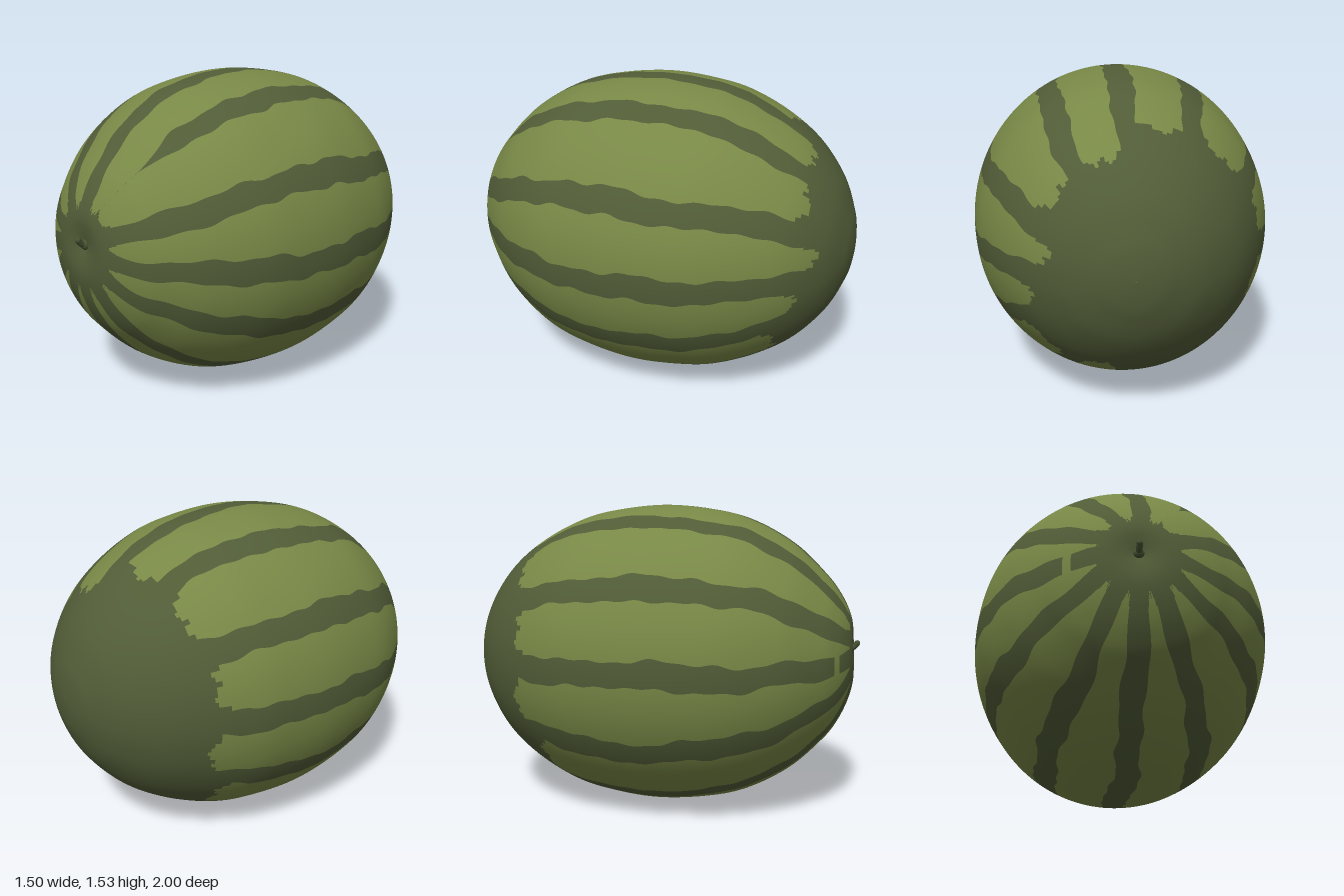
import * as THREE from 'three';

const rind = new THREE.MeshStandardMaterial({ color: 0x788846 });
rind.name = 'light green rind';
const stripe = new THREE.MeshStandardMaterial({ color: 0x515c37 });
stripe.name = 'dark green stripe';
const stalk = new THREE.MeshStandardMaterial({ color: 0x465030 });
stalk.name = 'stem green';

// Body outline from the dimpled stem end to the rounded blossom end: z, radius
const PROFILE = [[0.945, 0.001], [0.962, 0.07], [0.966, 0.14], [0.945, 0.225], [0.9, 0.32],
  [0.83, 0.415], [0.67, 0.568], [0.46, 0.687], [0.25, 0.743], [0, 0.767], [-0.25, 0.744],
  [-0.42, 0.702], [-0.61, 0.612], [-0.77, 0.495], [-0.9, 0.335], [-0.97, 0.18], [-0.992, 0.09], [-1, 0.001]];

// Stripe angles (degrees, mid body) and where the light band after each one ends at the back (z)
const STRIPES = [[-3, -0.87], [26, -0.81], [61, -0.79], [88.5, -0.66], [118, -0.63], [151, -0.58],
  [181, -0.6], [210, -0.5], [241, -0.5], [270, -0.75], [299, -0.7], [331, -0.8]];

const ROWS = 200, DARK_COLS = 4, LIGHT_COLS = 9;
const rad = THREE.MathUtils.degToRad;
const smooth = THREE.MathUtils.smoothstep;

// Smooth repeatable wobble for the stripe edges, about -1..1
const wobble = (t, seed) => 0.5 * Math.sin(t * 9 + seed * 2.3) + 0.35 * Math.sin(t * 21 + seed * 5.1)
  + 0.3 * Math.sin(t * 43 + seed * 3.7);

// Edge angle of stripe k on one side (-1 or +1) at a point of the outline
function edge(k, side, z, r) {
  const mid = rad(STRIPES[k][0]) + 0.018 * wobble(z * 0.6, k + 40);
  let half = 0.032 + 0.03 * (r / 0.767) + 0.014 * wobble(z, k * 2 + side);
  if (k === 2 && z > 0) half *= 1 - smooth(z, 0.62, 0.82);  // this stripe tapers out early
  return mid + side * Math.max(0.0005, Math.min(half / Math.max(r, 0.2), 0.2));
}

function buildBody() {
  const rows = new THREE.SplineCurve(PROFILE.map(p => new THREE.Vector2(...p))).getSpacedPoints(ROWS);
  const n = STRIPES.length;
  const perStripe = DARK_COLS + LIGHT_COLS, cols = n * perStripe;
  const positions = [], dark = [], light = [];

  // Columns follow the wavy stripe edges
  for (const { x: z, y: rawR } of rows) {
    const r = Math.max(rawR, 0.0005);
    const front = z > 0 ? 1 - smooth(r, 0.05, 0.4) : 0;
    for (let k = 0; k < n; k++) {
      const next = (k + 1) % n;
      const lo = edge(k, -1, z, r), hi = edge(k, 1, z, r);
      const end = edge(next, -1, z, r) + (next === 0 ? Math.PI * 2 : 0);
      for (let c = 0; c < perStripe; c++) {
        const a = c < DARK_COLS ? lo + (hi - lo) * c / DARK_COLS
          : hi + (end - hi) * (c - DARK_COLS) / LIGHT_COLS;
        const dy = r * Math.sin(a);
        positions.push(0.975 * r * Math.cos(a), 0.767 + dy + 0.045 * front, z - 0.05 * dy * front);
      }
    }
  }

  // Light bands stop at rounded ends; everything else is dark
  function isLight(k, c, z, r) {
    if (c < DARK_COLS) return k === 6 && z > 0 && r > 0.3 && r < 0.33;
    const t = (c - DARK_COLS + 0.5) / LIGHT_COLS * 2 - 1;
    const round = t ** 4;
    if (z > 0.6) return r > 0.19 + 0.06 * round + 0.012 * wobble(t, k);
    return z > STRIPES[k][1] + 0.05 * round + 0.02 * wobble(t * 0.5, k + 7);
  }

  for (let i = 0; i < ROWS; i++) {
    const z = (rows[i].x + rows[i + 1].x) / 2, r = (rows[i].y + rows[i + 1].y) / 2;
    for (let j = 0; j < cols; j++) {
      const a = i * cols + j, b = i * cols + (j + 1) % cols;
      const list = isLight(Math.floor(j / perStripe), j % perStripe, z, r) ? light : dark;
      list.push(a, a + cols, b, b, a + cols, b + cols);
    }
  }

  const geometry = new THREE.BufferGeometry();
  geometry.setAttribute('position', new THREE.Float32BufferAttribute(positions, 3));
  geometry.setIndex(light.concat(dark));
  geometry.addGroup(0, light.length, 0);
  geometry.addGroup(light.length, dark.length, 1);
  geometry.computeVertexNormals();
  const body = new THREE.Mesh(geometry, [rind, stripe]);
  body.name = 'melonBody';
  return body;
}

// Short bent stalk with a rounded tip
function buildStem() {
  const stem = new THREE.Group();
  stem.name = 'stem';
  const path = new THREE.CatmullRomCurve3([new THREE.Vector3(0, 0.808, 0.93),
    new THREE.Vector3(0, 0.82, 0.965), new THREE.Vector3(0, 0.843, 0.988)]);
  const shaft = new THREE.Mesh(new THREE.TubeGeometry(path, 10, 0.014, 12), stalk);
  shaft.name = 'stemShaft';
  const tip = new THREE.Mesh(new THREE.SphereGeometry(0.015, 14, 10), stalk);
  tip.name = 'stemTip';
  tip.position.set(0, 0.843, 0.985);
  const base = new THREE.Mesh(new THREE.SphereGeometry(0.026, 16, 12), stalk);
  base.name = 'stemBase';
  base.position.set(0, 0.815, 0.943);
  stem.add(shaft, tip, base);
  return stem;
}

export function createModel() {
  const model = new THREE.Group();
  model.name = 'watermelon';
  model.add(buildBody(), buildStem());
  return model;
}
